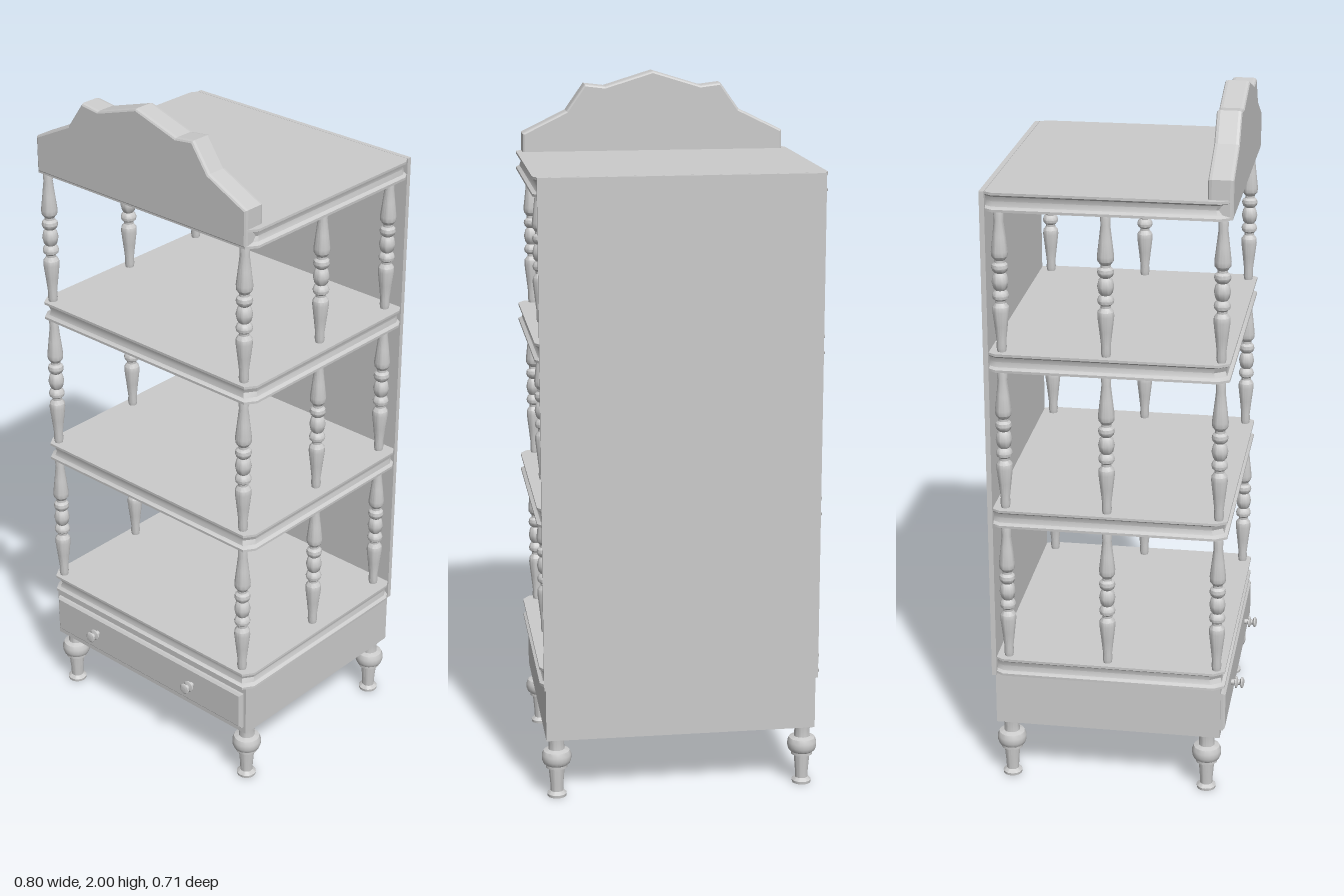
import * as THREE from 'three';
import { toCreasedNormals } from 'three/addons/utils/BufferGeometryUtils.js';

const material = new THREE.MeshStandardMaterial({ color: 0xcccccc, side: THREE.DoubleSide });

export function createModel() {
  const model = new THREE.Group();

  const add = (name, geometry, x = 0, y = 0, z = 0) => {
    const mesh = new THREE.Mesh(geometry, material);
    mesh.name = name;
    mesh.position.set(x, y, z);
    model.add(mesh);
    return mesh;
  };
  const box = (name, w, h, d, x, y, z) => add(name, new THREE.BoxGeometry(w, h, d), x, y, z);
  const turned = (profile, sides = 20) => toCreasedNormals(
    new THREE.LatheGeometry(profile.map(([r, y]) => new THREE.Vector2(r, y)), sides), 0.6);

  // Shelf: cut-corner outline, with a cove running around its edge
  const thickness = 0.053;
  const outline = (inset) => {
    const x = 0.4 - inset, front = 0.316 - inset, back = -0.34;
    return [[-x, front - 0.03], [-x + 0.02, front], [x - 0.02, front], [x, front - 0.03],
      [x, back + 0.02], [x - 0.012, back], [-x + 0.012, back], [-x, back + 0.02]];
  };
  const shelfGeometry = () => {
    const levels = [[0, 0], [0.007, 0], [0.013, 0.009], [0.0265, 0.013], [0.04, 0.009], [0.046, 0], [thickness, 0]];
    const positions = [], index = [], n = 8;
    for (const [y, inset] of levels) for (const [x, z] of outline(inset)) positions.push(x, y, z);
    for (let l = 0; l < levels.length - 1; l++) {
      for (let i = 0; i < n; i++) {
        const a = l * n + i, b = l * n + (i + 1) % n;
        index.push(a, b, b + n, a, b + n, a + n);
      }
    }
    const top = (levels.length - 1) * n;
    for (let i = 1; i < n - 1; i++) {
      index.push(0, i + 1, i, top, top + i, top + i + 1);
    }
    const geometry = new THREE.BufferGeometry();
    geometry.setAttribute('position', new THREE.Float32BufferAttribute(positions, 3));
    geometry.setIndex(index);
    return toCreasedNormals(geometry, 0.6);
  };
  const shelf = shelfGeometry();
  const shelfHeights = [0.34, 0.805, 1.267, 1.717];
  shelfHeights.forEach((y) => add('shelf', shelf, 0, y, 0));

  // Turned spindles between the shelves: two vases meeting at a set of beads
  const half = [[0.012, 0], [0.014, 0.012], [0.013, 0.03], [0.018, 0.075], [0.023, 0.118], [0.022, 0.132],
    [0.014, 0.143], [0.014, 0.15], [0.021, 0.156], [0.023, 0.165], [0.02, 0.174], [0.014, 0.18], [0.019, 0.187]];
  const spindleHeight = 0.41;
  const spindle = turned([...half, [0.023, spindleHeight / 2],
    ...half.slice().reverse().map(([r, y]) => [r, spindleHeight - y])]);
  for (let i = 0; i < 3; i++) {
    const bottom = shelfHeights[i] + thickness;
    const height = Math.min(shelfHeights[i + 1] - bottom, spindleHeight);
    for (const x of [-0.37, 0.357]) {
      for (const z of [0.291, -0.021, -0.307]) {
        add('spindle', spindle, x, bottom, z).scale.y = height / spindleHeight;
      }
    }
  }

  // Back panel
  box('backPanel', 0.78, 1.436, 0.014, 0, 1.052, -0.348);

  // Base: four thin walls, open underneath
  const wall = 0.01, baseHeight = 0.16, baseY = 0.18 + baseHeight / 2;
  for (const side of [-1, 1]) box('baseSide', wall, baseHeight, 0.65, side * 0.38, baseY, -0.02);
  box('baseFront', 0.75, baseHeight, wall, 0, baseY, 0.3);
  box('baseBack', 0.75, baseHeight, wall, 0, baseY, -0.34);

  // Drawer front with a bevelled edge
  const rectangle = new THREE.Shape([[-0.369, -0.052], [0.369, -0.052], [0.369, 0.052], [-0.369, 0.052]]
    .map(([x, y]) => new THREE.Vector2(x, y)));
  add('drawerFront', new THREE.ExtrudeGeometry(rectangle,
    { depth: 0.008, bevelSize: 0.007, bevelThickness: 0.006, bevelSegments: 1 }), 0, 0.259, 0.304);

  // Drawer knobs
  const knob = turned([[0, 0], [0.008, 0], [0.008, 0.016], [0.017, 0.018], [0.017, 0.022], [0.008, 0.026],
    [0.008, 0.031], [0.016, 0.035], [0.016, 0.039], [0.009, 0.043], [0, 0.044]]);
  for (const x of [-0.203, 0.185]) add('drawerKnob', knob, x, 0.265, 0.312).rotation.x = Math.PI / 2;

  // Turned legs
  const leg = turned([[0, 0], [0.027, 0], [0.028, 0.008], [0.018, 0.016], [0.019, 0.04], [0.023, 0.085],
    [0.031, 0.088], [0.031, 0.096], [0.038, 0.101], [0.042, 0.112], [0.042, 0.126], [0.037, 0.138],
    [0.023, 0.143], [0.022, 0.16], [0.025, 0.185], [0, 0.185]]);
  for (const x of [-0.356, 0.354]) for (const z of [0.265, -0.307]) add('leg', leg, x, 0, z);

  // Shaped crest along the front of the top shelf
  const rise = [[0.377, 1.82], [0.25, 1.882], [0.197, 1.957], [0.14, 1.95]];
  const crest = new THREE.Shape([[-0.377, 1.725], [0.377, 1.725], ...rise, [0, 1.993],
    ...rise.slice().reverse().map(([x, y]) => [-x, y])].map(([x, y]) => new THREE.Vector2(x, y)));
  add('crest', new THREE.ExtrudeGeometry(crest,
    { depth: 0.048, bevelSize: 0.006, bevelThickness: 0.01, bevelSegments: 2 }), 0, 0, 0.26);

  return model;
}
